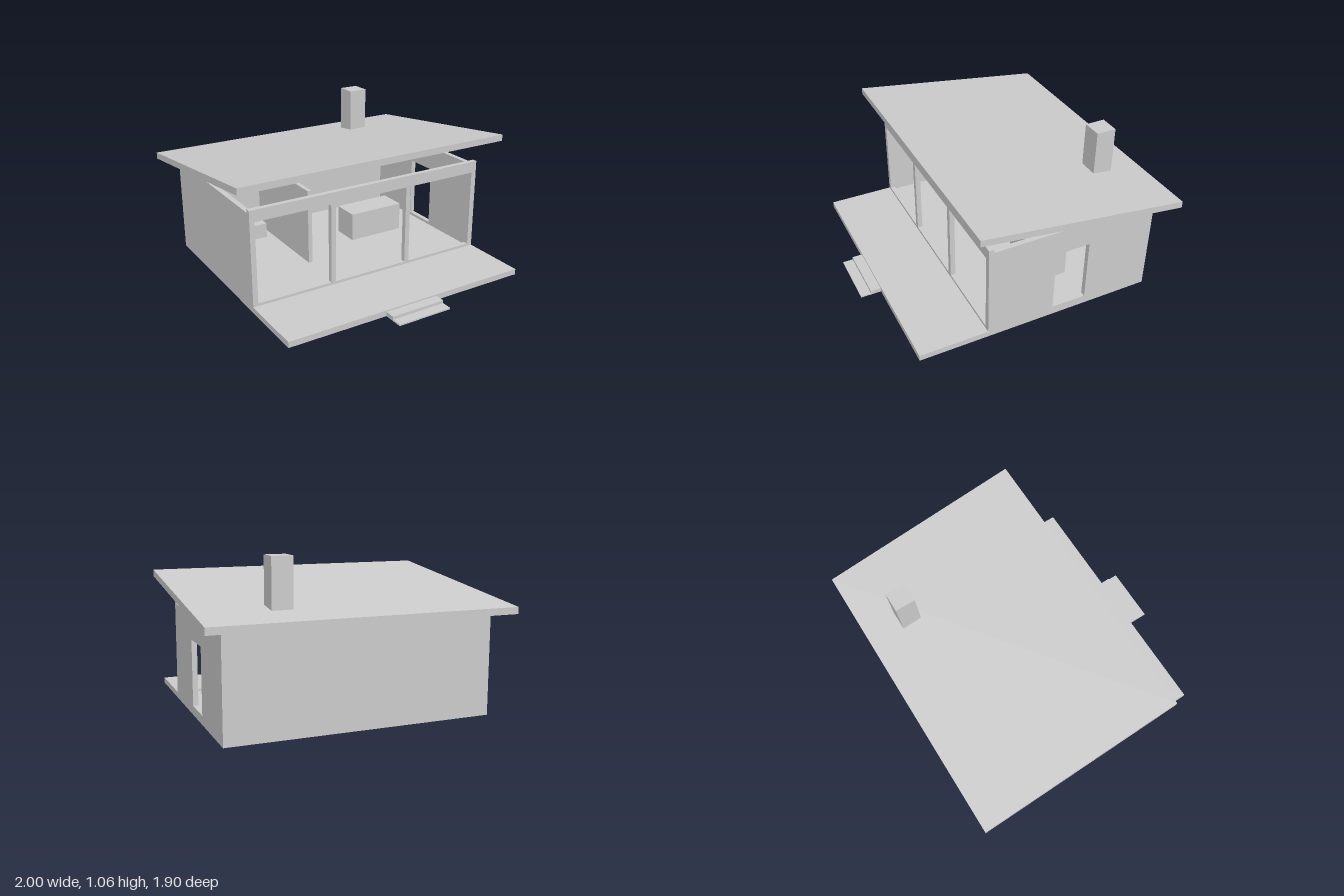
import * as THREE from 'three';

const plaster = new THREE.MeshStandardMaterial({ color: 0xcccccc });
plaster.name = 'plain grey';

function add(group, name, geometry) {
  const mesh = new THREE.Mesh(geometry, plaster);
  mesh.name = name;
  group.add(mesh);
  return mesh;
}

// Box given by its lower and upper limits on each axis
function block(group, name, [x0, x1], [y0, y1], [z0, z1]) {
  const g = new THREE.BoxGeometry(x1 - x0, y1 - y0, z1 - z0);
  g.translate((x0 + x1) / 2, (y0 + y1) / 2, (z0 + z1) / 2);
  return add(group, name, g);
}

// Upright panel in the XY plane with rectangular openings
function panel([u0, u1], [y0, y1], thickness, openings) {
  const rect = (path, a, b, c, d) => {
    path.moveTo(a, c);
    path.lineTo(b, c);
    path.lineTo(b, d);
    path.lineTo(a, d);
    path.closePath();
    return path;
  };
  const shape = rect(new THREE.Shape(), u0, u1, y0, y1);
  for (const [a, b, c, d] of openings) shape.holes.push(rect(new THREE.Path(), a, b, c, d));
  return new THREE.ExtrudeGeometry(shape, { depth: thickness, bevelEnabled: false });
}

export function createModel() {
  const house = new THREE.Group();
  house.name = 'house';

  // Floor slab with terrace, and two entrance steps
  block(house, 'floorSlab', [-0.88, 0.88], [0, 0.04], [-0.83, 0.81]);
  block(house, 'upperStep', [-0.195, 0.195], [0, 0.03], [0.81, 0.88]);
  block(house, 'lowerStep', [-0.195, 0.195], [0, 0.01], [0.88, 0.95]);

  // Closed back and left walls
  block(house, 'backWall', [-0.88, 0.88], [0.04, 0.667], [-0.83, -0.795]);
  block(house, 'rightHandWall', [-0.88, -0.845], [0.04, 0.667], [-0.795, 0.31]);

  // Side wall with one window
  const side = panel([-0.31, 0.795], [0.04, 0.667], 0.035, [[0.12, 0.36, 0.06, 0.495]]);
  side.rotateY(Math.PI / 2);
  side.translate(0.845, 0, 0);
  add(house, 'windowWall', side);

  // Front frame with three large openings
  const front = panel([-0.88, 0.88], [0.04, 0.69], 0.035, [
    [-0.845, -0.312, 0.058, 0.61],
    [-0.278, 0.275, 0.058, 0.61],
    [0.31, 0.842, 0.058, 0.61],
  ]);
  front.translate(0, 0, 0.31);
  add(house, 'frontFrame', front);

  // Interior partition and furniture
  block(house, 'partition', [-0.28, -0.25], [0.04, 0.575], [-0.795, -0.02]);
  block(house, 'bed', [-0.765, -0.335], [0.04, 0.15], [-0.795, -0.57]);
  block(house, 'counter', [0.18, 0.605], [0.04, 0.245], [-0.38, -0.18]);

  // Roof slab, sheared so it rises to the front with upright edges
  const roof = new THREE.BoxGeometry(2, 0.045, 1.41);
  roof.applyMatrix4(new THREE.Matrix4().set(
    1, 0, 0, 0,
    0, 1, 0.18 / 1.41, 0.782,
    0, 0, 1, -0.245,
    0, 0, 0, 1,
  ));
  roof.computeVertexNormals();
  add(house, 'roof', roof);

  // Chimney
  block(house, 'chimney', [0.41, 0.545], [0.667, 1.06], [-0.715, -0.58]);

  return house;
}
